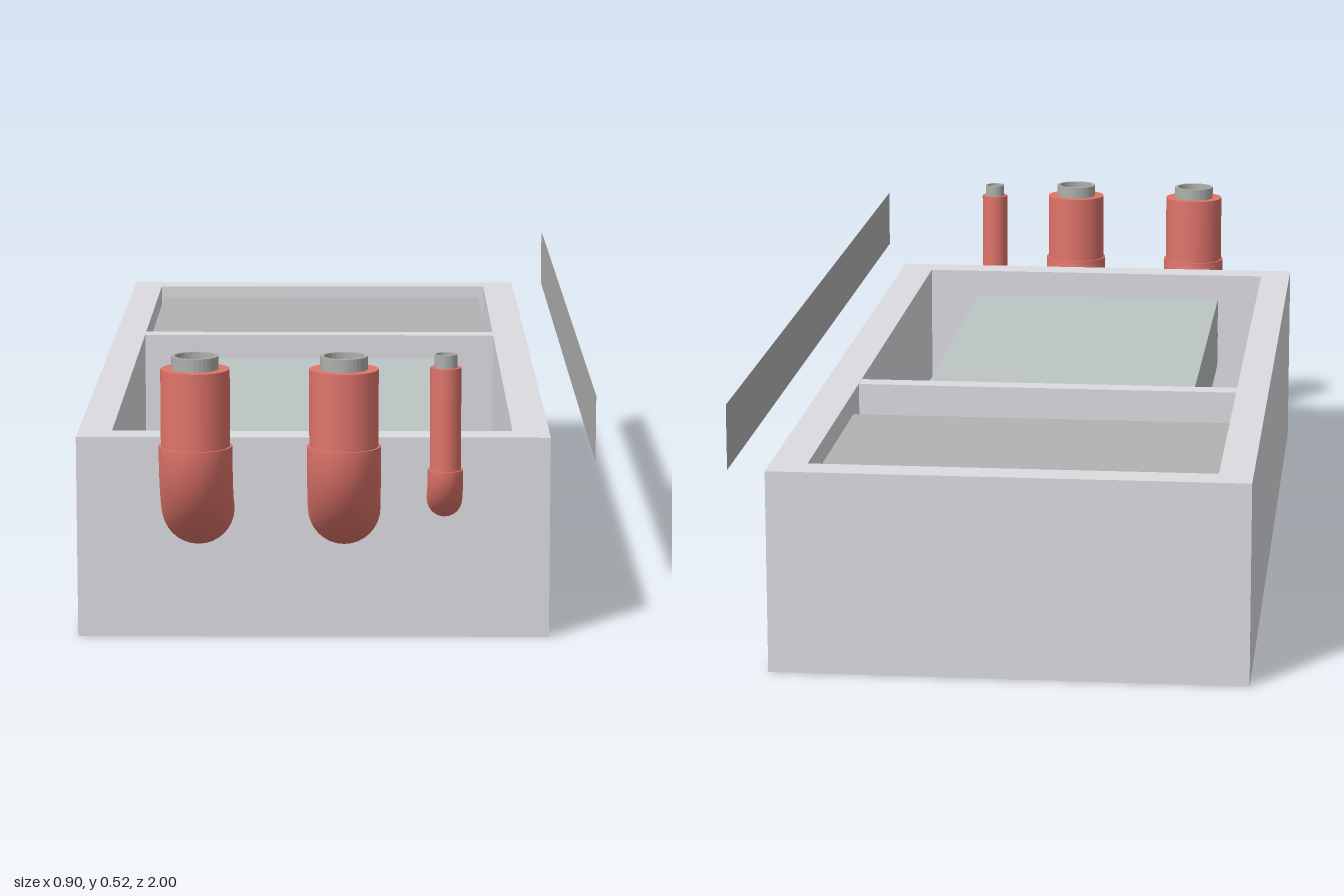
import * as THREE from 'three';

const mat = (color, side = THREE.FrontSide) => new THREE.MeshStandardMaterial({ color, side });
const bodyMat = mat(0xdcdbe0);
const greyMat = mat(0xb2b2b2);
const slatMat = mat(0x777772);
const coilMat = mat(0xbcc6c4);
const redMat = mat(0xe0746a, THREE.DoubleSide);
const tubeMat = mat(0xaeb0ac, THREE.DoubleSide);
const sheetMat = mat(0xb2b2b2, THREE.DoubleSide);

// Inner opening of the housing
const X0 = -0.39, X1 = 0.32, Z0 = -0.94, Z1 = 0.725;

function add(parent, name, geometry, material, x = 0, y = 0, z = 0) {
  const mesh = new THREE.Mesh(geometry, material);
  mesh.name = name;
  mesh.position.set(x, y, z);
  parent.add(mesh);
  return mesh;
}

// Box given by its limits on each axis
function block(parent, name, material, [x0, x1], [y0, y1], [z0, z1]) {
  return add(parent, name, new THREE.BoxGeometry(x1 - x0, y1 - y0, z1 - z0), material,
    (x0 + x1) / 2, (y0 + y1) / 2, (z0 + z1) / 2);
}

function rect(Type, x0, x1, y0, y1) {
  const p = new Type();
  p.moveTo(x0, y0);
  p.lineTo(x1, y0);
  p.lineTo(x1, y1);
  p.lineTo(x0, y1);
  p.closePath();
  return p;
}

// Insulated pipe: stub out of the wall, quarter bend, riser and bare tube end
function pipe(parent, name, { x, z, r, bend, elbowTop, redEnd, bareEnd, inner }) {
  const g = new THREE.Group();
  g.name = name;
  g.position.x = x;
  parent.add(g);
  const elbowR = r + 0.004;
  const low = elbowTop - bend, bendZ = z - bend;

  const elbow = add(g, 'elbow', new THREE.TorusGeometry(bend, elbowR, 32, 24, Math.PI / 2), redMat, 0, elbowTop, bendZ);
  elbow.rotation.set(0, Math.PI / 2, Math.PI, 'YXZ');
  elbow.rotation.set(0, -Math.PI / 2, 0);
  elbow.scale.y = -1;
  const shoulder = add(g, 'elbowRim', new THREE.RingGeometry(r - 0.002, elbowR, 32), redMat, 0, elbowTop, z);
  shoulder.rotation.x = -Math.PI / 2;

  add(g, 'riser', new THREE.CylinderGeometry(r, r, 0.5 - elbowTop, 32), redMat, 0, (0.5 + elbowTop) / 2, z);

  const stub = add(g, 'stub', new THREE.CylinderGeometry(elbowR, elbowR, bendZ - redEnd, 32), redMat, 0, low, (bendZ + redEnd) / 2);
  stub.rotation.x = Math.PI / 2;
  if (bareEnd < redEnd) {
    const bare = add(g, 'bareStub', new THREE.CylinderGeometry(r * 0.9, r * 0.9, redEnd - bareEnd, 32), tubeMat, 0, low, (redEnd + bareEnd) / 2);
    bare.rotation.x = Math.PI / 2;
  }

  // Hollow tube end above the insulation
  const t = inner * 0.85;
  const profile = [[inner, 0.5], [inner, 0.523], [t, 0.523], [t, 0.5]].map(p => new THREE.Vector2(...p));
  const end = new THREE.LatheGeometry(profile, 32).toNonIndexed();
  end.computeVertexNormals();
  add(g, 'tubeEnd', end, tubeMat, 0, 0, z);
}

export function createModel() {
  const model = new THREE.Group();
  model.name = 'ceilingCassette';

  // Housing walls, open above and below
  const outline = rect(THREE.Shape, -0.45, 0.385, -0.785, 1);
  outline.holes.push(rect(THREE.Path, X0, X1, -Z1, -Z0));
  const walls = new THREE.ExtrudeGeometry(outline, { depth: 0.36, bevelEnabled: false });
  walls.rotateX(-Math.PI / 2);
  add(model, 'housing', walls, bodyMat);

  // Partition with a round passage
  const wall = rect(THREE.Shape, X0, X1, 0, 0.359);
  const passage = new THREE.Path();
  passage.absarc(0.063, 0.27, 0.028, 0, Math.PI * 2, true);
  wall.holes.push(passage);
  add(model, 'partition',
    new THREE.ExtrudeGeometry(wall, { depth: 0.04, bevelEnabled: false, curveSegments: 24 }), bodyMat, 0, 0, -0.34);

  // Grille slats under both chambers
  const slats = new THREE.Group();
  slats.name = 'grille';
  model.add(slats);
  const pitch = 0.042;
  for (let z = Z1 - 0.016; z > -0.27; z -= pitch) {
    block(slats, 'slat', slatMat, [X0, X1], [0.003, 0.015], [z - 0.016, z + 0.016]);
  }
  for (let z = -0.385; z > Z0; z -= pitch) {
    block(slats, 'slat', slatMat, [X0, X1], [0.003, 0.015], [Math.max(z - 0.016, Z0), z + 0.016]);
  }

  // Units inside the chambers
  block(model, 'rearUnit', greyMat, [-0.385, 0.31], [0.11, 0.335], [-0.938, -0.48]);
  block(model, 'coilUnit', coilMat, [-0.3, 0.215], [0.17, 0.315], [-0.27, 0.69]);

  // Pipes at the front
  for (const [name, x] of [['rightPipe', -0.235], ['middlePipe', 0.022]]) {
    pipe(model, name, { x, z: 0.884, r: 0.06, bend: 0.136, elbowTop: 0.365, redEnd: 0.685, bareEnd: 0.685, inner: 0.041 });
  }
  pipe(model, 'leftPipe', { x: 0.198, z: 0.865, r: 0.027, bend: 0.065, elbowTop: 0.32, redEnd: 0.77, bareEnd: 0.715, inner: 0.02 });

  // Thin upright strip along the left side
  const strip = add(model, 'sideStrip', new THREE.PlaneGeometry(2, 0.115), sheetMat, 0.45, 0.418, 0);
  strip.rotation.y = Math.PI / 2;

  return model;
}
